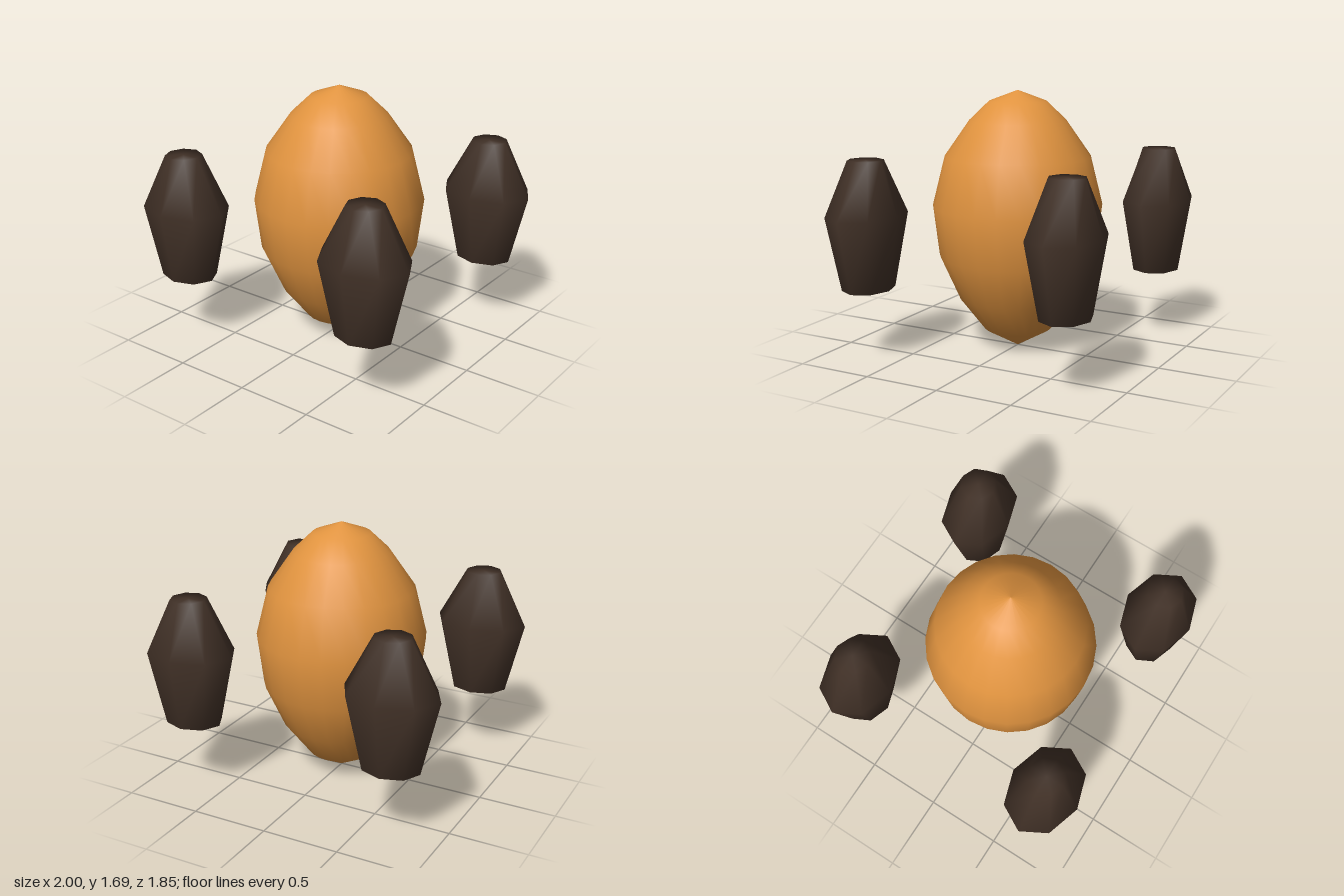
import * as THREE from 'three';

const orange = new THREE.MeshStandardMaterial({ name: 'warm orange', color: 0xe0933f });
const darkBrown = new THREE.MeshStandardMaterial({ name: 'dark brown', color: 0x403026 });

// Smooth eight-sided pod from elliptical rings [y, half width, half depth], closed at both ends
function podGeometry(rings, sides = 8) {
  const positions = [];
  const index = [];
  for (const [y, rx, rz] of rings) {
    for (let i = 0; i < sides; i++) {
      const a = (i / sides) * Math.PI * 2;
      positions.push(rx * Math.sin(a), y, rz * Math.cos(a));
    }
  }
  const last = (rings.length - 1) * sides;
  const bottom = last + sides;
  const top = bottom + 1;
  positions.push(0, rings[0][0], 0, 0, rings[rings.length - 1][0], 0);
  for (let i = 0; i < sides; i++) {
    const j = (i + 1) % sides;
    for (let r = 0; r < last; r += sides) {
      index.push(r + i, r + j, r + sides + j, r + i, r + sides + j, r + sides + i);
    }
    index.push(bottom, j, i, top, last + i, last + j);
  }
  const geometry = new THREE.BufferGeometry();
  geometry.setAttribute('position', new THREE.Float32BufferAttribute(positions, 3));
  geometry.setIndex(index);
  geometry.computeVertexNormals();
  return geometry;
}

export function createModel() {
  const model = new THREE.Group();
  model.name = 'floatingPodBody';

  // Egg-shaped body with softly pointed ends
  const profile = [
    [0, 0], [0.22, 0.125], [0.385, 0.34], [0.51, 0.62], [0.55, 0.95],
    [0.47, 1.27], [0.31, 1.5], [0.185, 1.62], [0, 1.69],
  ].map(([r, y]) => new THREE.Vector2(r, y));
  const body = new THREE.Mesh(new THREE.LatheGeometry(profile, 24), orange);
  body.name = 'body';
  model.add(body);

  // Four detached pods around the body
  const pod = podGeometry([[0.46, 0.19, 0.155], [0.935, 0.305, 0.23], [1.28, 0.115, 0.115]]);
  for (const z of [1, -1]) {
    for (const x of [1, -1]) {
      const mesh = new THREE.Mesh(pod, darkBrown);
      mesh.name = (z > 0 ? 'front' : 'back') + (x > 0 ? 'Left' : 'Right') + 'Pod';
      mesh.position.set(x * 0.695, 0, z * 0.695);
      model.add(mesh);
    }
  }
  return model;
}
